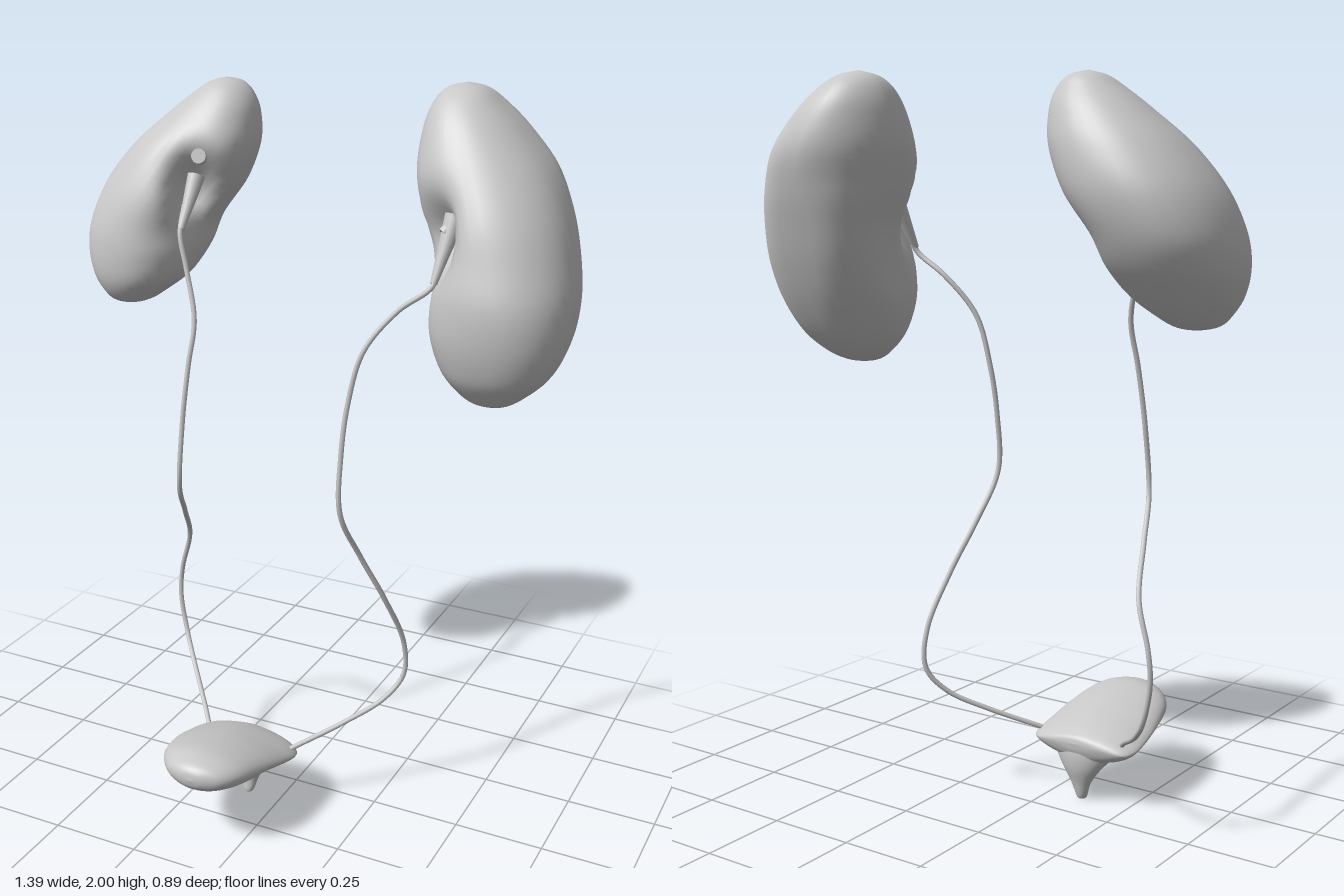
import * as THREE from 'three';

const material = new THREE.MeshStandardMaterial({ color: 0xc8c8c8 });
material.name = 'neutral grey';

// Closed smooth skin through rounded sections [t, a0, a1, b0, b1]; place(t, a, b) gives the point,
// power(t, cos, sin) the squareness of the section (2 is an ellipse).
function skin(rows, place, power, steps = 6, sides = 40) {
  const posCurve = new THREE.CatmullRomCurve3(rows.map(r => new THREE.Vector3(r[0], (r[1] + r[2]) / 2, (r[3] + r[4]) / 2)));
  const sizeCurve = new THREE.CatmullRomCurve3(rows.map(r => new THREE.Vector3(0, (r[2] - r[1]) / 2, (r[4] - r[3]) / 2)));
  posCurve.curveType = sizeCurve.curveType = 'catmullrom';
  const count = (rows.length - 1) * steps;
  const points = [], index = [];
  const round = (c, n) => Math.sign(c) * Math.pow(Math.abs(c), 2 / n);
  for (let i = 0; i <= count; i++) {
    const c = posCurve.getPoint(i / count), s = sizeCurve.getPoint(i / count);
    for (let j = 0; j < sides; j++) {
      const q = (j / sides) * Math.PI * 2, cos = Math.cos(q), sin = Math.sin(q);
      const n = power(c.x, cos, sin);
      const p = place(c.x, c.y + Math.max(s.y, 0) * round(cos, n), c.z + Math.max(s.z, 0) * round(sin, n));
      points.push(p.x, p.y, p.z);
      if (i < count) {
        const a = i * sides + j, b = i * sides + (j + 1) % sides;
        index.push(a, b, a + sides, b, b + sides, a + sides);
      }
    }
  }
  const g = new THREE.BufferGeometry();
  g.setAttribute('position', new THREE.Float32BufferAttribute(points, 3));
  g.setIndex(index);
  g.computeVertexNormals();
  return g;
}

// Kidney: horizontal sections with a hollow pressed in around the hilum.
function kidneyGeometry(rows, hilum, push, power) {
  const h = new THREE.Vector3(...hilum), dir = new THREE.Vector3(...push);
  return skin(rows, (y, x, z) => {
    const p = new THREE.Vector3(x, y, z);
    const d = p.clone().sub(h);
    d.y *= 0.65;
    return p.addScaledVector(dir, Math.exp(-d.lengthSq() / 0.0038));
  }, power);
}

// The back of a kidney is fuller beside the hilum; side is +1 for left, -1 for right.
const backFullness = (side, yMid, base, medial, lateral) => (y, cos, sin) => {
  if (sin >= 0) return 2.2;
  return cos * side < 0 ? base + medial * Math.exp(-(((y - yMid) / 0.14) ** 2)) : lateral;
};

// Tapered round piece between two points.
function taper(from, to, r0, r1) {
  const a = new THREE.Vector3(...from), b = new THREE.Vector3(...to);
  const d = b.clone().sub(a);
  const g = new THREE.CylinderGeometry(r1, r0, d.length(), 14);
  g.applyQuaternion(new THREE.Quaternion().setFromUnitVectors(new THREE.Vector3(0, 1, 0), d.normalize()));
  const m = a.add(b).multiplyScalar(0.5);
  return g.translate(m.x, m.y, m.z);
}

function tube(path) {
  const curve = new THREE.CatmullRomCurve3(path.map(p => new THREE.Vector3(...p)));
  return new THREE.TubeGeometry(curve, 120, 0.0072, 8);
}

export function createModel() {
  const model = new THREE.Group();
  const add = (name, geometry) => {
    const mesh = new THREE.Mesh(geometry, material);
    mesh.name = name;
    model.add(mesh);
  };

  // Kidneys: [y, x0, x1, z0, z1]
  add('leftKidney', kidneyGeometry([
    [2.0, 0.34, 0.34, -0.285, -0.285],
    [1.985, 0.29, 0.39, -0.345, -0.225],
    [1.95, 0.26, 0.435, -0.39, -0.175],
    [1.89, 0.243, 0.50, -0.425, -0.125],
    [1.8, 0.24, 0.58, -0.443, -0.07],
    [1.7, 0.268, 0.636, -0.422, -0.02],
    [1.6, 0.305, 0.672, -0.387, 0.01],
    [1.5, 0.322, 0.693, -0.347, 0.035],
    [1.4, 0.332, 0.688, -0.297, 0.032],
    [1.31, 0.367, 0.653, -0.237, 0.007],
    [1.255, 0.415, 0.597, -0.18, -0.03],
    [1.23, 0.46, 0.555, -0.13, -0.055],
    [1.222, 0.51, 0.51, -0.09, -0.09],
  ], [0.345, 1.64, -0.065], [0.065, 0, -0.085], backFullness(1, 1.56, 1.75, 1.5, 2.7)));
  add('rightKidney', kidneyGeometry([
    [1.975, -0.34, -0.34, -0.26, -0.26],
    [1.962, -0.385, -0.295, -0.315, -0.21],
    [1.93, -0.432, -0.262, -0.345, -0.17],
    [1.88, -0.495, -0.244, -0.375, -0.125],
    [1.8, -0.583, -0.243, -0.405, -0.06],
    [1.7, -0.658, -0.285, -0.415, -0.015],
    [1.6, -0.694, -0.355, -0.39, 0.01],
    [1.52, -0.696, -0.375, -0.345, 0.02],
    [1.45, -0.672, -0.41, -0.28, 0.015],
    [1.4, -0.635, -0.47, -0.22, -0.01],
    [1.375, -0.605, -0.51, -0.17, -0.045],
    [1.366, -0.56, -0.56, -0.11, -0.11],
  ], [-0.34, 1.7, -0.075], [-0.06, 0, -0.08], backFullness(-1, 1.6, 1.9, 0.5, 2.2)));

  // Funnels and short branches inside each hilum
  add('leftPelvis', taper([0.365, 1.54, -0.03], [0.39, 1.7, -0.1], 0.009, 0.027));
  add('leftVessel', taper([0.37, 1.66, -0.07], [0.42, 1.72, -0.12], 0.014, 0.018));
  add('rightPelvis', taper([-0.365, 1.6, -0.04], [-0.36, 1.73, -0.12], 0.009, 0.024));
  add('rightVessel', taper([-0.335, 1.79, -0.09], [-0.36, 1.77, -0.16], 0.02, 0.02));

  // Ureters
  add('leftUreter', tube([
    [0.375, 1.58, -0.05], [0.36, 1.53, -0.03], [0.28, 1.465, -0.01], [0.205, 1.36, 0.03],
    [0.172, 1.22, 0.05], [0.163, 1.08, 0.07], [0.167, 0.92, 0.08], [0.2, 0.78, 0.02],
    [0.25, 0.64, -0.035], [0.286, 0.48, -0.1], [0.284, 0.37, -0.11], [0.24, 0.3, -0.07],
    [0.15, 0.24, 0.01], [0.035, 0.18, 0.11],
  ]));
  add('rightUreter', tube([
    [-0.37, 1.66, -0.07], [-0.365, 1.59, -0.035], [-0.34, 1.5, -0.02], [-0.302, 1.37, 0.01],
    [-0.307, 1.25, 0.04], [-0.315, 1.1, 0.065], [-0.322, 0.91, 0.08], [-0.355, 0.8, 0.0],
    [-0.4, 0.67, -0.1], [-0.44, 0.55, -0.12], [-0.445, 0.46, -0.115], [-0.415, 0.35, -0.095],
    [-0.36, 0.28, -0.04], [-0.265, 0.21, 0.065], [-0.235, 0.185, 0.1],
  ]));

  // Bladder body with thin side edges, sections from back to front: [z, x0, x1, y0, y1]
  add('bladder', skin([
    [0.055, -0.1, -0.1, 0.175, 0.175],
    [0.06, -0.19, -0.02, 0.15, 0.192],
    [0.075, -0.25, 0.03, 0.125, 0.203],
    [0.11, -0.27, 0.054, 0.11, 0.22],
    [0.17, -0.271, 0.051, 0.118, 0.242],
    [0.25, -0.262, 0.04, 0.143, 0.263],
    [0.35, -0.235, 0.02, 0.166, 0.278],
    [0.41, -0.19, -0.015, 0.185, 0.27],
    [0.435, -0.145, -0.06, 0.205, 0.255],
    [0.443, -0.1, -0.1, 0.23, 0.23],
  ], (z, x, y) => new THREE.Vector3(x, y, z), z => 1.55 + 0.45 * THREE.MathUtils.smoothstep(z, 0.15, 0.4)));

  // Bladder neck flaring up into the body: [y, x0, x1, z0, z1]
  add('bladderNeck', skin([
    [0.2, -0.1, -0.1, 0.15, 0.15],
    [0.185, -0.25, 0.035, 0.075, 0.25],
    [0.15, -0.215, 0.005, 0.061, 0.22],
    [0.1, -0.168, -0.04, 0.063, 0.145],
    [0.05, -0.134, -0.072, 0.078, 0.12],
    [0.004, -0.116, -0.088, 0.092, 0.12],
    [0.0, -0.102, -0.102, 0.106, 0.106],
  ], (y, x, z) => new THREE.Vector3(x, Math.max(y, 0), z), () => 2));

  return model;
}
